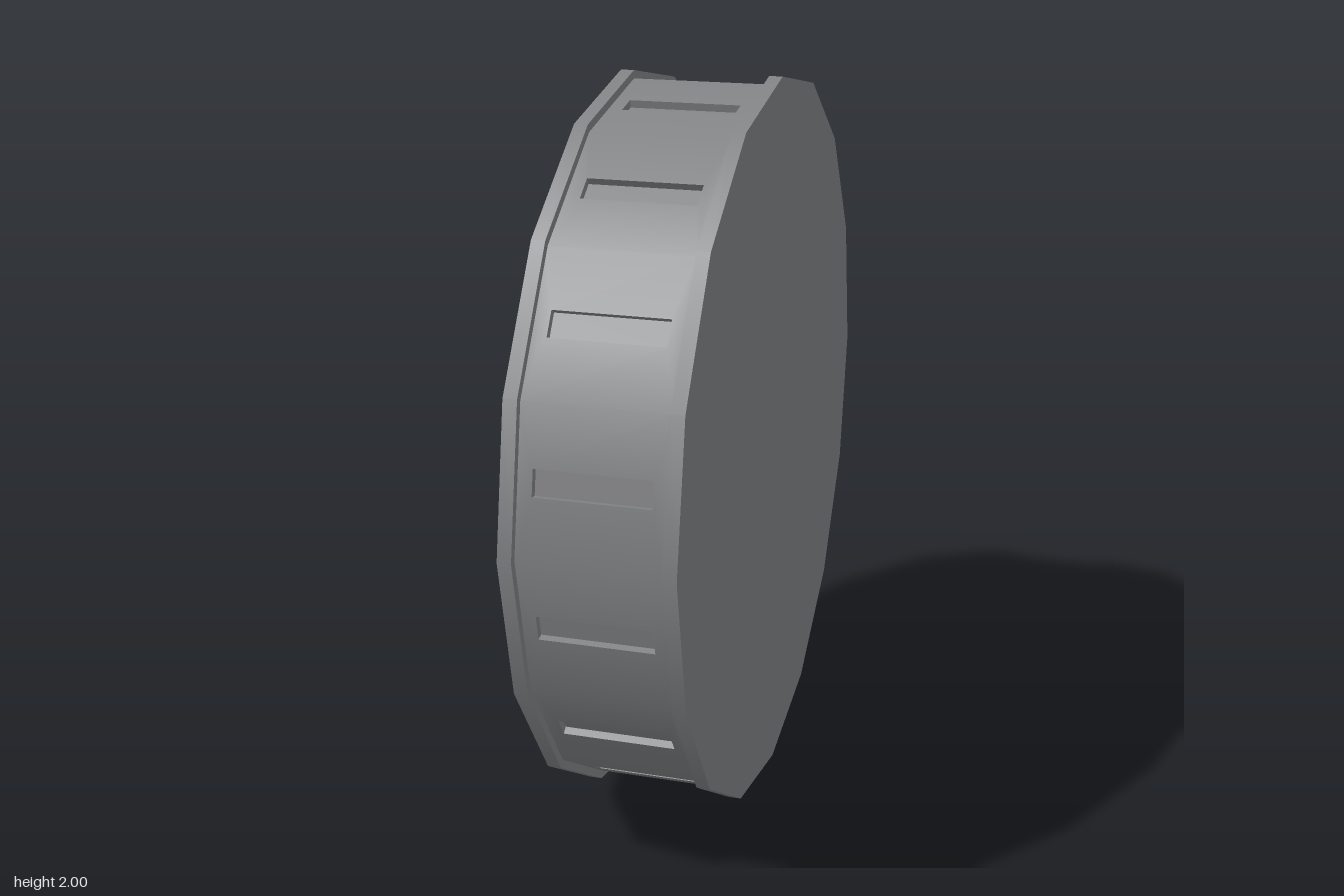
import * as THREE from 'three';

const SIDES = 16;
const FLANGE_R = 1, FLANGE_T = 0.036, HALF_WIDTH = 0.22;
const DRUM_R = 0.978, DRUM_HALF = HALF_WIDTH - FLANGE_T;
const SLOT_HALF_LEN = 0.147, SLOT_HALF_H = 0.034, SLOT_DEPTH = 0.02;

const APOTHEM = DRUM_R * Math.cos(Math.PI / SIDES);
const HALF_SIDE = DRUM_R * Math.sin(Math.PI / SIDES);

// Rectangle outline centred on the origin
function rect(path, hx, hy) {
  path.moveTo(-hx, -hy);
  path.lineTo(hx, -hy);
  path.lineTo(hx, hy);
  path.lineTo(-hx, hy);
  path.closePath();
  return path;
}

// One flat side of the drum with a slot opening, shaded as part of a round drum
function panelGeometry() {
  const shape = rect(new THREE.Shape(), DRUM_HALF, HALF_SIDE);
  shape.holes.push(rect(new THREE.Path(), SLOT_HALF_LEN, SLOT_HALF_H));
  const geo = new THREE.ShapeGeometry(shape);
  geo.translate(0, 0, APOTHEM);
  const pos = geo.attributes.position;
  const n = new THREE.Vector3();
  for (let i = 0; i < pos.count; i++) {
    n.set(0, pos.getY(i), APOTHEM).normalize();
    geo.attributes.normal.setXYZ(i, n.x, n.y, n.z);
  }
  return geo;
}

// Open box seen from inside: four walls and a floor
function recessGeometry() {
  const box = new THREE.BoxGeometry(2 * SLOT_HALF_LEN, 2 * SLOT_HALF_H, SLOT_DEPTH);
  const index = Array.from(box.index.array);
  index.splice(24, 6); // remove the outer face
  index.reverse(); // turn the faces inward
  box.clearGroups();
  box.setIndex(index);
  box.computeVertexNormals();
  box.translate(0, 0, APOTHEM - SLOT_DEPTH / 2);
  return box;
}

export function createModel() {
  const model = new THREE.Group();
  model.name = 'slottedWheel';
  const grey = new THREE.MeshStandardMaterial({ color: 0x848587 });
  grey.name = 'grey';

  const wheel = new THREE.Group();
  wheel.name = 'wheel';
  wheel.position.y = FLANGE_R;
  model.add(wheel);

  // Closed end flanges
  const flangeGeo = new THREE.CylinderGeometry(FLANGE_R, FLANGE_R, FLANGE_T, SIDES);
  flangeGeo.rotateZ(Math.PI / 2);
  for (const side of [1, -1]) {
    const flange = new THREE.Mesh(flangeGeo, grey);
    flange.name = side > 0 ? 'leftFlange' : 'rightFlange';
    flange.position.x = side * (HALF_WIDTH - FLANGE_T / 2);
    wheel.add(flange);
  }

  // Drum sides, each with a recessed slot
  const panelGeo = panelGeometry();
  const recessGeo = recessGeometry();
  for (let i = 0; i < SIDES; i++) {
    const segment = new THREE.Group();
    segment.name = 'drumSegment' + (i + 1);
    const panel = new THREE.Mesh(panelGeo, grey);
    panel.name = 'drumPanel';
    const recess = new THREE.Mesh(recessGeo, grey);
    recess.name = 'slotRecess';
    segment.add(panel, recess);
    segment.rotation.x = ((i + 0.5) * 2 * Math.PI) / SIDES;
    wheel.add(segment);
  }
  return model;
}
